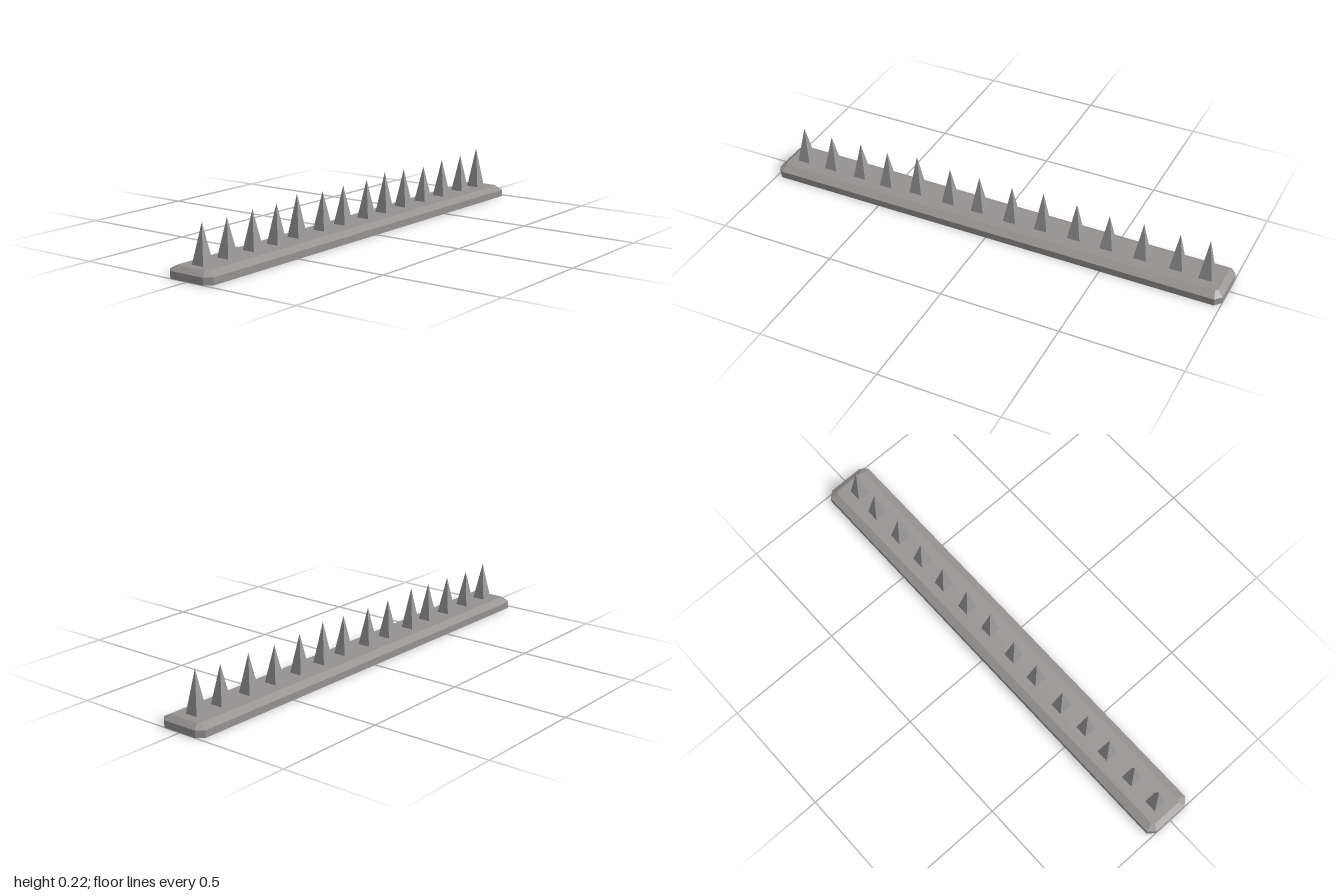
import * as THREE from 'three';

// Rectangle with cut corners, counter-clockwise seen from above
function ring(hx, hz, cx, cz, y) {
  return [
    [hx, y, hz - cz], [hx, y, -hz + cz], [hx - cx, y, -hz], [-hx + cx, y, -hz],
    [-hx, y, -hz + cz], [-hx, y, hz - cz], [-hx + cx, y, hz], [hx - cx, y, hz],
  ];
}

// Hollow strip: side walls, sloped rim and flat top, open underneath
function stripGeometry() {
  const rings = [
    ring(1, 0.106, 0.025, 0.028, 0),
    ring(1, 0.106, 0.025, 0.028, 0.029),
    ring(0.975, 0.074, 0.01, 0.01, 0.047),
  ];
  const pos = [];
  const tri = (a, b, c) => pos.push(...a, ...b, ...c);
  for (let r = 0; r < 2; r++) {
    for (let i = 0; i < 8; i++) {
      const j = (i + 1) % 8;
      const a = rings[r][i], b = rings[r][j], c = rings[r + 1][j], d = rings[r + 1][i];
      tri(a, b, c);
      tri(a, c, d);
    }
  }
  const top = rings[2];
  for (let i = 1; i < 7; i++) tri(top[0], top[i], top[i + 1]);
  const geo = new THREE.BufferGeometry();
  geo.setAttribute('position', new THREE.Float32BufferAttribute(pos, 3));
  geo.computeVertexNormals();
  return geo;
}

export function createModel() {
  const model = new THREE.Group();
  model.name = 'spikeStrip';

  const stripGrey = new THREE.MeshStandardMaterial({ color: 0x969292, side: THREE.DoubleSide, flatShading: true });
  stripGrey.name = 'strip grey';
  const spikeGrey = new THREE.MeshStandardMaterial({ color: 0x9b9a9a, flatShading: true });
  spikeGrey.name = 'spike grey';

  const strip = new THREE.Mesh(stripGeometry(), stripGrey);
  strip.name = 'baseStrip';
  model.add(strip);

  // Row of slightly irregular spikes: x, z, tip height
  const spikes = [
    [-0.912, -0.003, 0.204], [-0.778, -0.003, 0.198], [-0.636, -0.003, 0.204], [-0.505, 0.003, 0.204],
    [-0.369, -0.007, 0.218], [-0.214, -0.003, 0.204], [-0.08, -0.003, 0.204], [0.07, 0.003, 0.206],
    [0.206, -0.003, 0.216], [0.35, -0.007, 0.206], [0.492, -0.003, 0.197], [0.636, -0.003, 0.204],
    [0.786, -0.003, 0.204], [0.909, 0.003, 0.22],
  ];
  const foot = 0.043; // just below the strip's top, so the feet show underneath
  const spikeGeo = new THREE.ConeGeometry(0.056 / Math.SQRT2, 1, 4).rotateY(Math.PI / 4).translate(0, 0.5, 0);
  const row = new THREE.Group();
  row.name = 'spikes';
  for (const [x, z, tip] of spikes) {
    const spike = new THREE.Mesh(spikeGeo, spikeGrey);
    spike.name = 'spike';
    spike.position.set(x, foot, z);
    spike.scale.y = tip - foot;
    row.add(spike);
  }
  model.add(row);
  return model;
}
